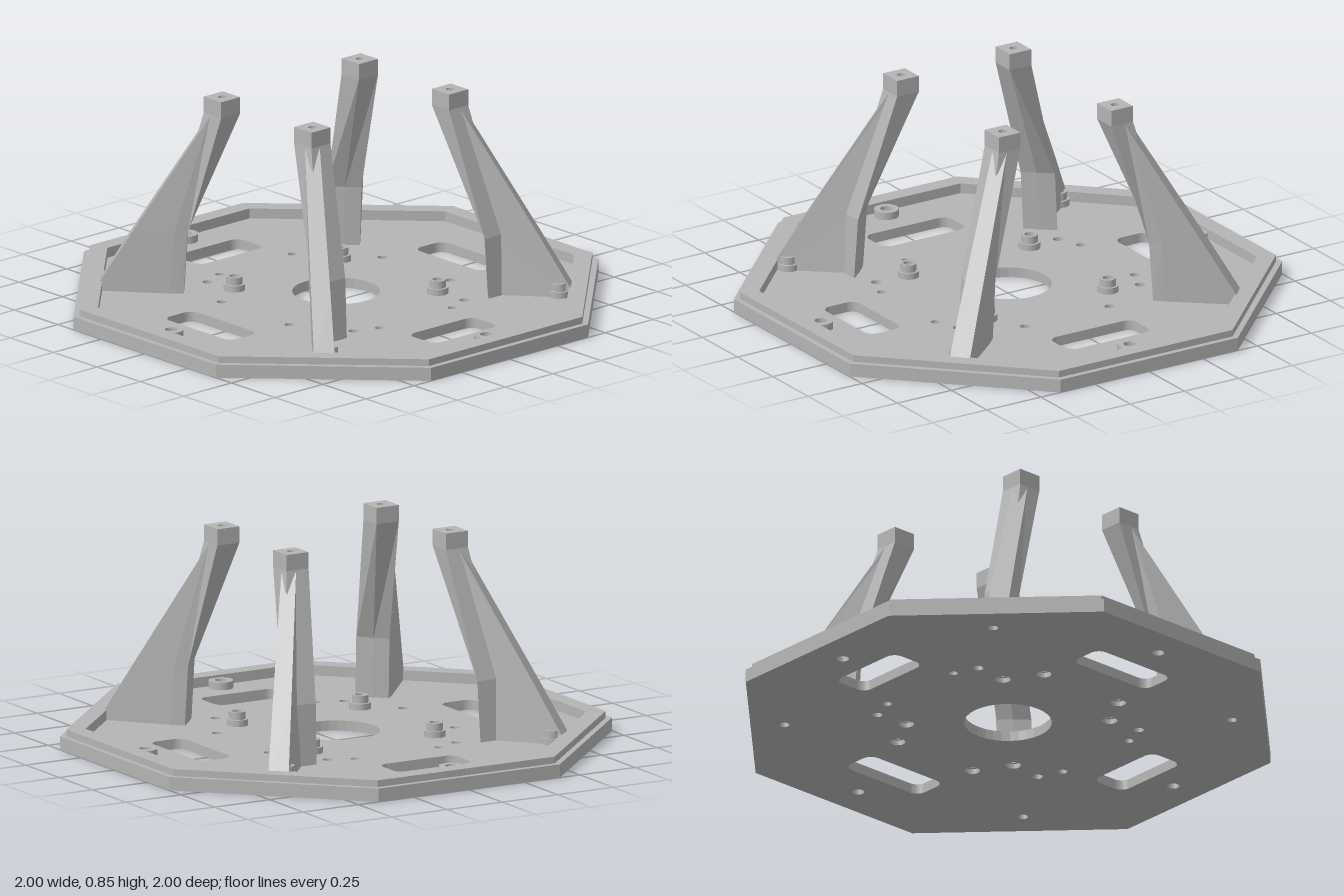
import * as THREE from 'three';

const grey = new THREE.MeshStandardMaterial({ color: 0xb4b4b4 });
grey.name = 'grey';
const signs = [[1, 1], [-1, 1], [-1, -1], [1, -1]];

// Octagon with straight sides at +-r
function octagon(r, Type = THREE.Shape) {
  const c = r * 0.41;
  return new Type([[r, -c], [r, c], [c, r], [-c, r], [-r, c], [-r, -c], [-c, -r], [c, -r]]
    .map(([x, z]) => new THREE.Vector2(x, z)));
}

function circle(x, z, r, Type = THREE.Path) {
  const p = new Type();
  p.absarc(x, z, r, 0, Math.PI * 2, false);
  return p;
}

// Rounded rectangular opening
function slot(x, z, w, d, r = 0.04) {
  const p = new THREE.Path(), a = w / 2 - r, b = d / 2 - r, q = Math.PI / 2;
  p.absarc(x + a, z + b, r, 0, q);
  p.absarc(x - a, z + b, r, q, 2 * q);
  p.absarc(x - a, z - b, r, 2 * q, 3 * q);
  p.absarc(x + a, z - b, r, 3 * q, 4 * q);
  p.closePath();
  return p;
}

// Horizontal slab between two heights, outlined in x and z
function slab(name, shape, holes, y0, y1) {
  shape.holes.push(...holes);
  const g = new THREE.ExtrudeGeometry(shape, { depth: y1 - y0, bevelEnabled: false, curveSegments: 16 });
  g.rotateX(Math.PI / 2).translate(0, y1, 0);
  const m = new THREE.Mesh(g, grey);
  m.name = name;
  return m;
}

// Solid through cross-sections [y, [[x, z], ...]], mirrored by sx and sz
function loft(name, sections, sx, sz) {
  const pos = [];
  const rings = sections.map(([y, pts]) => pts.map(([x, z]) => [x * sx, y, z * sz]));
  const tri = (a, b, c) => pos.push(...a, ...(sx * sz > 0 ? [...b, ...c] : [...c, ...b]));
  const n = rings[0].length, top = rings[rings.length - 1], low = rings[0];
  for (let k = 0; k + 1 < rings.length; k++) {
    for (let i = 0; i < n; i++) {
      const j = (i + 1) % n, R = rings[k], S = rings[k + 1];
      tri(R[i], S[i], R[j]);
      tri(R[j], S[i], S[j]);
    }
  }
  for (let i = 1; i + 1 < n; i++) {
    tri(top[0], top[i + 1], top[i]);
    tri(low[0], low[i], low[i + 1]);
  }
  const g = new THREE.BufferGeometry();
  g.setAttribute('position', new THREE.Float32BufferAttribute(pos, 3));
  g.computeVertexNormals();
  const m = new THREE.Mesh(g, grey);
  m.name = name;
  return m;
}

// Cut-outs of the floor; the lower layer has wider screw recesses
function openings(recess) {
  const list = [circle(0, 0, 0.17),
    slot(0, 0.655, 0.385, 0.15), slot(0, -0.655, 0.385, 0.15),
    slot(0.675, 0, 0.155, 0.34), slot(-0.675, 0, 0.155, 0.34)];
  for (const [sx, sz] of signs) {
    list.push(circle(0.28 * sx, 0.277 * sz, recess), circle(0.195 * sx, 0.42 * sz, recess));
    list.push(circle(0.46 * sx, 0.19 * sz, 0.018), circle(0.42 * sx, 0.29 * sz, 0.02));
    list.push(circle(0.625 * sx, 0.6 * sz, 0.02));
  }
  for (const [x, z] of [[1, 0], [-1, 0], [0, 1], [0, -1]]) list.push(circle(x * 0.865, z * 0.862, 0.024));
  return list;
}

// Hollow cylinder standing on the floor
const ring = (name, x, z, r, hole, y0, y1) =>
  slab(name, circle(x, z, r, THREE.Shape), [circle(x, z, hole)], y0, y1);

function leg(sx, sz) {
  const g = new THREE.Group();
  g.name = 'leg';
  // Bent post, turning from a square top to a diagonal foot
  const foot = [[0.47, 0.37], [0.47, 0.44], [0.46, 0.49], [0.41, 0.5], [0.37, 0.46], [0.415, 0.415]];
  g.add(loft('post', [
    [0.04, foot],
    [0.28, [[0.455, 0.365], [0.455, 0.45], [0.44, 0.48], [0.39, 0.495], [0.355, 0.455], [0.4, 0.41]]],
    [0.78, [[0.31, 0.31], [0.31, 0.37], [0.31, 0.41], [0.275, 0.41], [0.21, 0.41], [0.21, 0.31]]],
  ], sx, sz));
  // Triangular brace on the outer side
  g.add(loft('brace', [
    [0.04, [[0.69, 0.63], [0.635, 0.69], [0.41, 0.5], [0.47, 0.44]]],
    [0.28, [[0.57, 0.546], [0.518, 0.6], [0.39, 0.495], [0.455, 0.45]]],
    [0.77, [[0.315, 0.37], [0.275, 0.412], [0.265, 0.4], [0.3, 0.36]]],
  ], sx, sz));
  // Square head with a screw hole
  const x = 0.26 * sx, z = 0.36 * sz, h = 0.05;
  const square = new THREE.Shape([[-h, -h], [h, -h], [h, h], [-h, h]]
    .map(([a, b]) => new THREE.Vector2(x + a, z + b)));
  g.add(slab('head', square, [circle(x, z, 0.016)], 0.78, 0.845));
  return g;
}

export function createModel() {
  const model = new THREE.Group();
  model.name = 'octagonalMount';

  // Base plate and stepped rim
  model.add(slab('lowerPlate', octagon(1), openings(0.03), 0, 0.02));
  model.add(slab('upperPlate', octagon(1), openings(0.02), 0.02, 0.04));
  model.add(slab('outerRim', octagon(1), [octagon(0.907, THREE.Path)], 0.04, 0.053));
  model.add(slab('innerRim', octagon(0.977), [octagon(0.907, THREE.Path)], 0.053, 0.08));

  // Low bosses along the edge
  for (const [x, z] of [[1, 0], [-1, 0], [0, 1], [0, -1]])
    model.add(ring('edgeBoss', x * 0.865, z * 0.862, 0.048, 0.024, 0.04, 0.07));

  for (const [sx, sz] of signs) {
    model.add(leg(sx, sz));
    // Stepped bosses by the post and at the end of the brace
    for (const [x, z] of [[0.28, 0.277], [0.625, 0.6]]) {
      model.add(ring('bossBase', x * sx, z * sz, 0.042, 0.02, 0.04, 0.065));
      model.add(ring('bossTop', x * sx, z * sz, 0.032, 0.02, 0.065, 0.095));
    }
  }
  return model;
}
